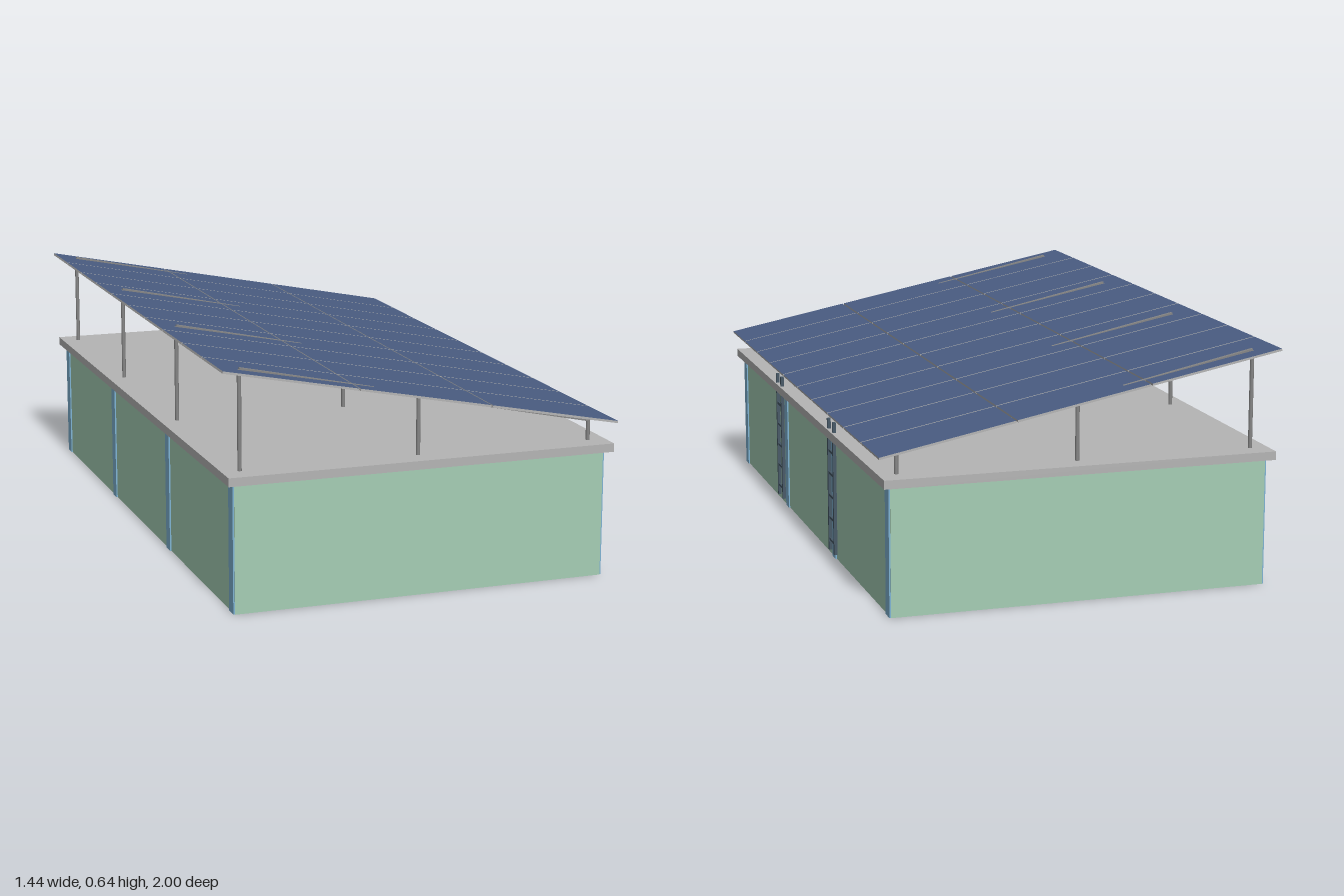
import * as THREE from 'three';

const mat = (name, color) => {
  const m = new THREE.MeshStandardMaterial({ color });
  m.name = name;
  return m;
};

export function createModel() {
  const green = mat('wall green', 0xa5ceb5);
  const grey = mat('concrete grey', 0xb5b5b5);
  const steel = mat('steel grey', 0x868686);
  const paleBlue = mat('pilaster blue', 0x7fb4d4);
  const navy = mat('solar cell blue', 0x4a5d82);
  const slate = mat('ladder slate', 0x465866);

  const model = new THREE.Group();
  model.name = 'solarRoofBuilding';
  const hall = new THREE.Group();
  hall.name = 'hall';
  hall.rotation.y = -0.2075; // the whole building stands at an angle
  model.add(hall);

  const box = (name, material, w, h, d, x, y, z, parent = hall) => {
    const m = new THREE.Mesh(new THREE.BoxGeometry(w, h, d), material);
    m.name = name;
    m.position.set(x, y, z);
    parent.add(m);
    return m;
  };

  // Walls and roof slab
  box('walls', green, 1.022, 0.345, 1.772, 0, 0.1725, 0);
  box('roofSlab', grey, 1.064, 0.023, 1.816, 0, 0.3545, 0);

  // Pilaster strips on both long walls
  for (const s of [-1, 1])
    for (const z of [-0.866, -0.299, 0.283, 0.866])
      box('pilaster', paleBlue, 0.006, 0.343, 0.036, s * 0.512, 0.1715, z);

  // Ladders on the low side
  for (const z of [-0.32, 0.322]) {
    const ladder = new THREE.Group();
    ladder.name = 'ladder';
    ladder.position.set(0.523, 0, z);
    hall.add(ladder);
    for (const s of [-1, 1]) box('ladderRail', slate, 0.009, 0.372, 0.009, 0, 0.208, s * 0.029, ladder);
    for (let i = 0; i < 5; i++) box('ladderRung', slate, 0.006, 0.007, 0.055, 0, 0.053 + i * 0.063, 0, ladder);
  }

  // Posts in four rows of three, with a sloping rafter over each row
  const rafterY = (x) => 0.525 - 0.213 * x;
  const rafterTilt = Math.atan(0.213);
  for (const z of [-0.847, -0.282, 0.282, 0.847]) {
    for (const x of [-0.484, 0, 0.484]) {
      const h = rafterY(x) - 0.36;
      const post = new THREE.Mesh(new THREE.CylinderGeometry(0.0055, 0.0055, h, 10), steel);
      post.name = 'post';
      post.position.set(x, 0.36 + h / 2, z);
      hall.add(post);
    }
    const rafter = box('rafter', steel, 0.99, 0.01, 0.01, 0, rafterY(0), z);
    rafter.rotation.z = -rafterTilt;
  }

  // Tilted array of solar panels, blue on top and grey elsewhere
  const array = new THREE.Group();
  array.name = 'solarArray';
  array.position.y = 0.529;
  array.rotation.z = -Math.atan(0.215 / 1.09);
  hall.add(array);
  const cols = 3, rows = 10, pw = 1.113 / cols, pd = 1.812 / rows, gap = 0.005;
  const faces = [grey, grey, navy, grey, grey, grey];
  for (let c = 0; c < cols; c++)
    for (let r = 0; r < rows; r++)
      box('solarPanel', faces, pw - gap, 0.006, pd - gap,
        (c - (cols - 1) / 2) * pw, 0, (r - (rows - 1) / 2) * pd, array);

  return model;
}
